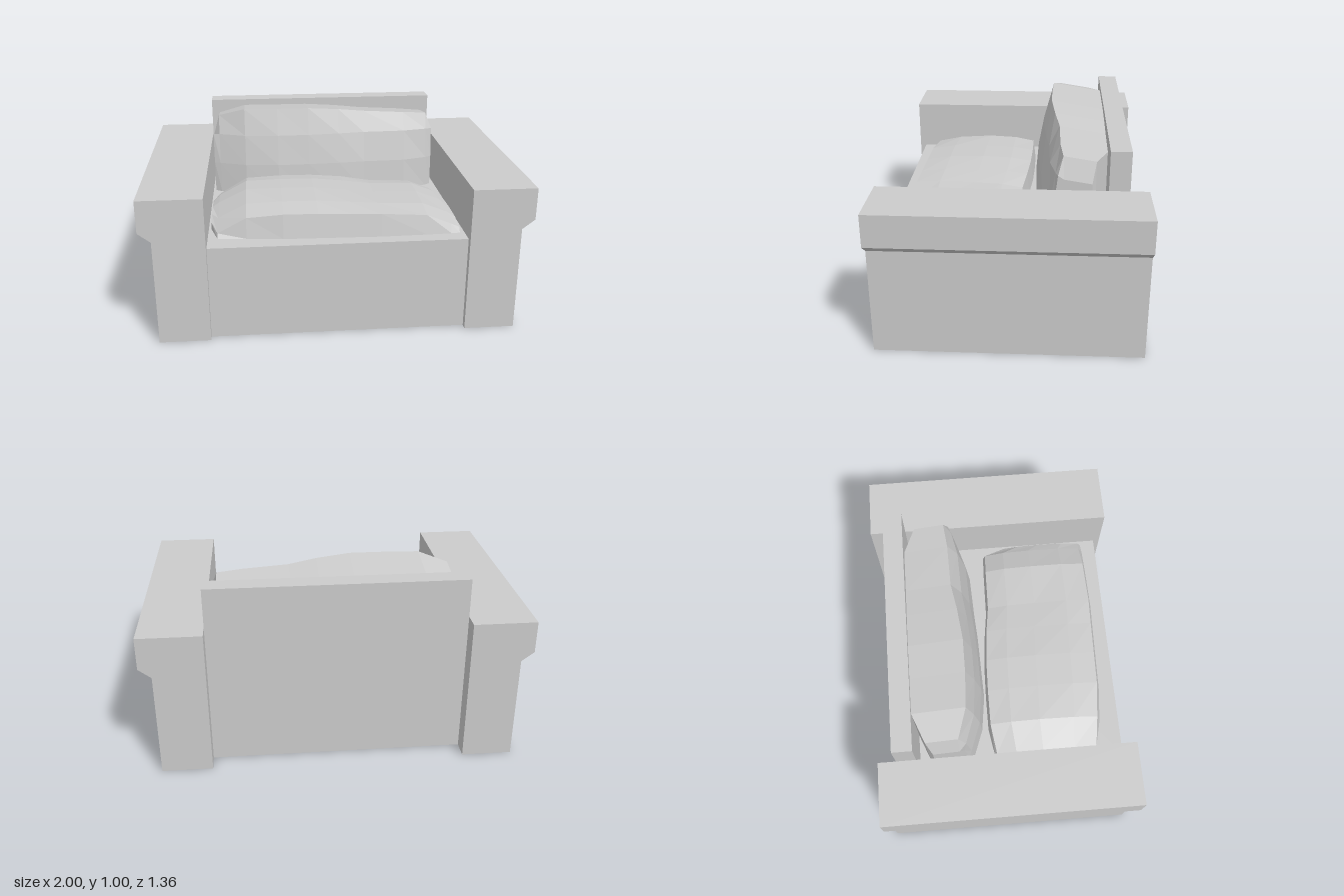
import * as THREE from 'three';

const SEAT_Y = 0.505;

function material() {
  return new THREE.MeshStandardMaterial({ color: 0xcccccc, flatShading: true });
}

function addMesh(group, name, geometry) {
  const mesh = new THREE.Mesh(geometry, material());
  mesh.name = name;
  group.add(mesh);
  return mesh;
}

function addBox(group, name, [x0, x1], [y0, y1], [z0, z1]) {
  const mesh = addMesh(group, name, new THREE.BoxGeometry(x1 - x0, y1 - y0, z1 - z0));
  mesh.position.set((x0 + x1) / 2, (y0 + y1) / 2, (z0 + z1) / 2);
}

// Skin a row of rings along +x; each ring runs front, bottom, back, top
function loft(stations, ringOf) {
  const rings = stations.map((s) => ringOf(s).map(([z, y]) => [s[0], y, z]));
  const n = rings[0].length, last = rings.length - 1;
  const index = [];
  for (let i = 0; i < last; i++) {
    for (let j = 0; j < n; j++) {
      const a = i * n + j, b = i * n + (j + 1) % n;
      index.push(a, b, b + n, a, b + n, a + n);
    }
  }
  for (let j = 1; j < n - 1; j++) {
    index.push(0, j + 1, j);
    index.push(last * n, last * n + j, last * n + j + 1);
  }
  const geometry = new THREE.BufferGeometry();
  geometry.setAttribute('position', new THREE.Float32BufferAttribute(rings.flat(2), 3));
  geometry.setIndex(index);
  geometry.computeVertexNormals();
  return geometry;
}

// Seat cushion stations: x, back z, front z, back / crown / front heights
const seatStations = [
  [-0.655, 0.06, 0.40, 0.54, 0.56, 0.54],
  [-0.62, -0.065, 0.525, 0.54, 0.58, 0.525],
  [-0.47, -0.09, 0.54, 0.62, 0.65, 0.61],
  [-0.28, -0.09, 0.56, 0.63, 0.655, 0.63],
  [-0.10, -0.085, 0.565, 0.63, 0.655, 0.63],
  [0.08, -0.07, 0.57, 0.62, 0.64, 0.625],
  [0.23, -0.05, 0.575, 0.60, 0.627, 0.622],
  [0.47, -0.045, 0.57, 0.59, 0.622, 0.605],
  [0.60, -0.04, 0.565, 0.54, 0.572, 0.55],
  [0.645, 0.08, 0.56, 0.53, 0.55, 0.53],
];
function seatRing([, zb, zf, hb, hm, hf]) {
  const at = (t) => zb + (zf - zb) * t;
  return [
    [zf, SEAT_Y], [zb, SEAT_Y], [at(0.02), hb], [at(0.2), (hb + 3 * hm) / 4],
    [at(0.45), hm], [at(0.75), (hm + hf) / 2 + 0.008], [at(0.96), hf],
  ];
}

// Back cushion stations: x, back z, lower front z, upper front z, top y
const backStations = [
  [-0.655, -0.39, -0.20, -0.25, 0.83],
  [-0.62, -0.42, -0.18, -0.25, 0.955],
  [-0.47, -0.48, -0.125, -0.20, 1.0],
  [-0.28, -0.48, -0.10, -0.19, 1.0],
  [-0.10, -0.48, -0.105, -0.19, 1.0],
  [0.08, -0.48, -0.11, -0.21, 0.985],
  [0.23, -0.48, -0.12, -0.235, 0.965],
  [0.47, -0.48, -0.13, -0.24, 0.95],
  [0.61, -0.42, -0.18, -0.255, 0.94],
  [0.645, -0.40, -0.205, -0.26, 0.83],
];
function backRing([, zb, zl, zu, top]) {
  const rearTop = top - (zu - zb) * 0.16;
  return [
    [zl, SEAT_Y], [zb, SEAT_Y], [zb, rearTop], [zu, top],
    [zl * 0.4 + zu * 0.6 + 0.008, 0.85], [zl * 0.75 + zu * 0.25 + 0.008, 0.68],
  ];
}

export function createModel() {
  const model = new THREE.Group();
  model.name = 'armchair';

  // Upholstered base and upright back panel
  addBox(model, 'base', [-0.67, 0.67], [0, SEAT_Y], [-0.48, 0.645]);
  addBox(model, 'backPanel', [-0.67, 0.67], [0, 0.99], [-0.585, -0.48]);

  // Arms with an overhanging, chamfered top
  for (const [name, s] of [['leftArm', 1], ['rightArm', -1]]) {
    const profile = [[0.67, 0], [0.935, 0], [0.935, 0.565], [1, 0.615], [1, 0.785], [0.67, 0.785]];
    const shape = new THREE.Shape(profile.map(([x, y]) => new THREE.Vector2(s * x, y)));
    const geometry = new THREE.ExtrudeGeometry(shape, { depth: 1.36, bevelEnabled: false });
    geometry.translate(0, 0, -0.68);
    addMesh(model, name, geometry);
  }

  // Soft, uneven cushions
  addMesh(model, 'seatCushion', loft(seatStations, seatRing));
  addMesh(model, 'backCushion', loft(backStations, backRing));

  return model;
}
